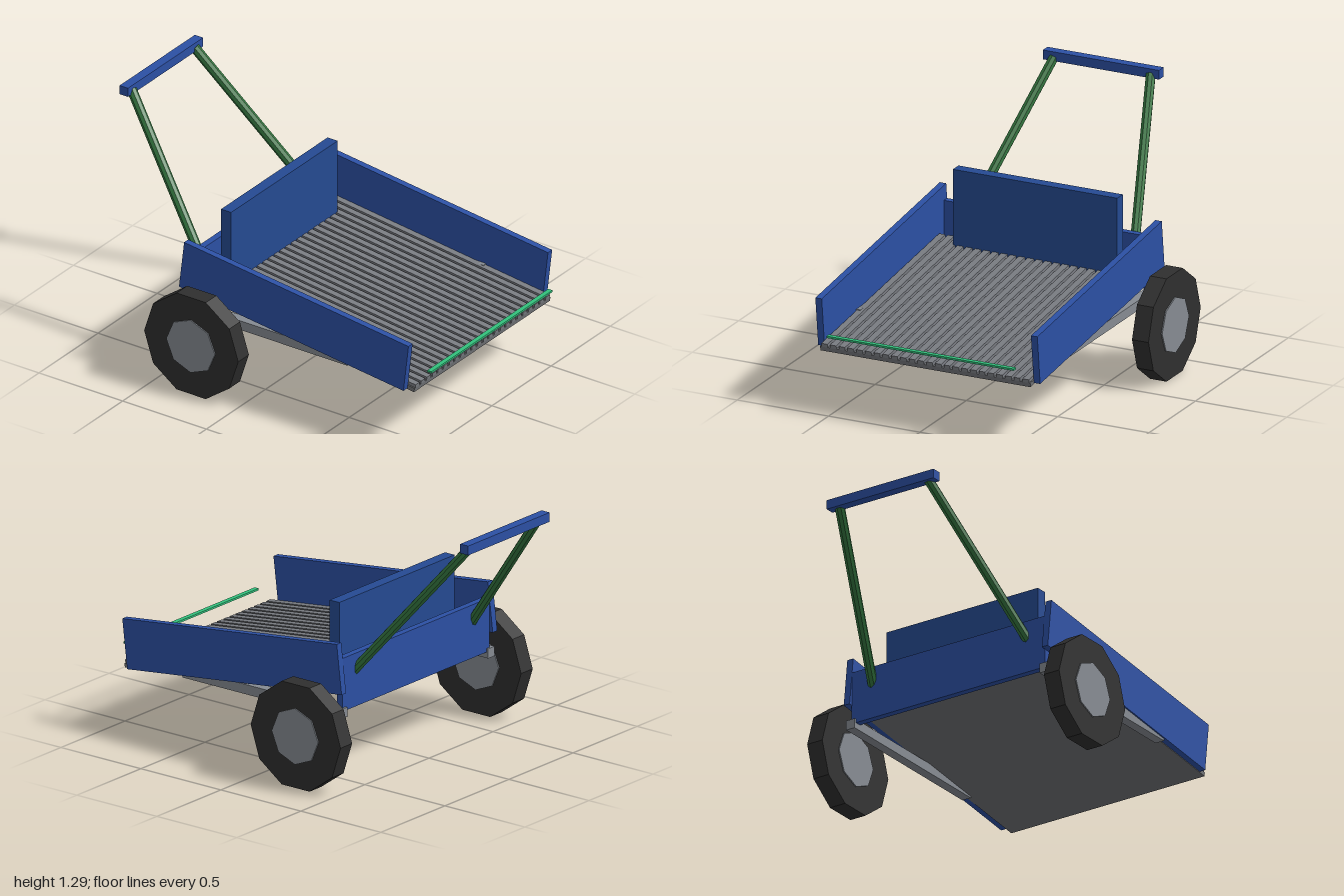
import * as THREE from 'three';

const mat = (name, color) => {
  const m = new THREE.MeshStandardMaterial({ color, flatShading: true });
  m.name = name;
  return m;
};

export function createModel() {
  const blue = mat('panel blue', 0x2c50a4);
  const darkBlue = mat('board blue', 0x254a92);
  const green = mat('pole green', 0x34753f);
  const brightGreen = mat('strip green', 0x32c07c);
  const slatGrey = mat('slat grey', 0x797c82);
  const baseGrey = mat('deck grey', 0x6f7175);
  const steel = mat('steel', 0x868b92);
  const rubber = mat('rubber', 0x2f2f2f);

  const model = new THREE.Group();
  model.name = 'cart';

  const add = (parent, name, geo, material, x, y, z) => {
    const mesh = new THREE.Mesh(geo, material);
    mesh.name = name;
    mesh.position.set(x, y, z);
    parent.add(mesh);
    return mesh;
  };
  const box = (parent, name, material, w, h, d, x, y, z) =>
    add(parent, name, new THREE.BoxGeometry(w, h, d), material, x, y, z);

  // Sloping ribbed deck, lower at the front
  const deck = new THREE.Group();
  deck.name = 'deck';
  deck.position.set(0, 0.388, 0.305);
  deck.rotation.x = 0.12;
  model.add(deck);
  box(deck, 'deckBase', baseGrey, 1.15, 0.022, 1.28, 0, 0.011, 0);
  const count = 24, pitch = 1.15 / count;
  for (let i = 0; i < count; i++) {
    box(deck, 'slat', slatGrey, 0.034, 0.018, 1.28, (i - (count - 1) / 2) * pitch, 0.03, 0);
  }

  // Back wall, upright board and front strip
  box(model, 'backWall', blue, 1.15, 0.275, 0.035, 0, 0.518, -0.402);
  box(model, 'uprightBoard', darkBlue, 0.9, 0.41, 0.06, 0, 0.68, -0.27);
  box(model, 'frontStrip', brightGreen, 1.024, 0.01, 0.025, 0, 0.41, 0.987);

  // Handle grip
  box(model, 'handleGrip', blue, 0.636, 0.048, 0.05, 0, 1.27, -0.975);

  for (const s of [1, -1]) {
    const side = s > 0 ? 'left' : 'right';

    // Tilted side panel
    box(model, side + 'Panel', blue, 0.035, 0.257, 1.35, s * 0.59, 0.528, 0.245).rotation.x = 0.119;

    // Level brace under the deck edge
    box(model, side + 'Brace', steel, 0.05, 0.05, 0.99, s * 0.575, 0.375, 0.065);

    // Slanted handle pole
    const top = new THREE.Vector3(s * 0.265, 1.26, -0.965);
    const foot = new THREE.Vector3(s * 0.49, 0.455, -0.315);
    const dir = top.clone().sub(foot);
    const mid = top.clone().add(foot).multiplyScalar(0.5);
    const pole = add(model, side + 'Pole',
      new THREE.CylinderGeometry(0.025, 0.025, dir.length(), 8), green, mid.x, mid.y, mid.z);
    pole.quaternion.setFromUnitVectors(new THREE.Vector3(0, 1, 0), dir.normalize());

    // Faceted wheel with a slightly proud hub
    const wheel = new THREE.Group();
    wheel.name = side + 'Wheel';
    wheel.position.set(s * 0.705, 0.268, -0.267);
    wheel.rotation.z = Math.PI / 2;
    model.add(wheel);
    add(wheel, 'tyre', new THREE.CylinderGeometry(0.281, 0.281, 0.09, 10), rubber, 0, 0, 0);
    add(wheel, 'hub', new THREE.CylinderGeometry(0.145, 0.145, 0.102, 8), steel, 0, 0, 0);
  }

  return model;
}
